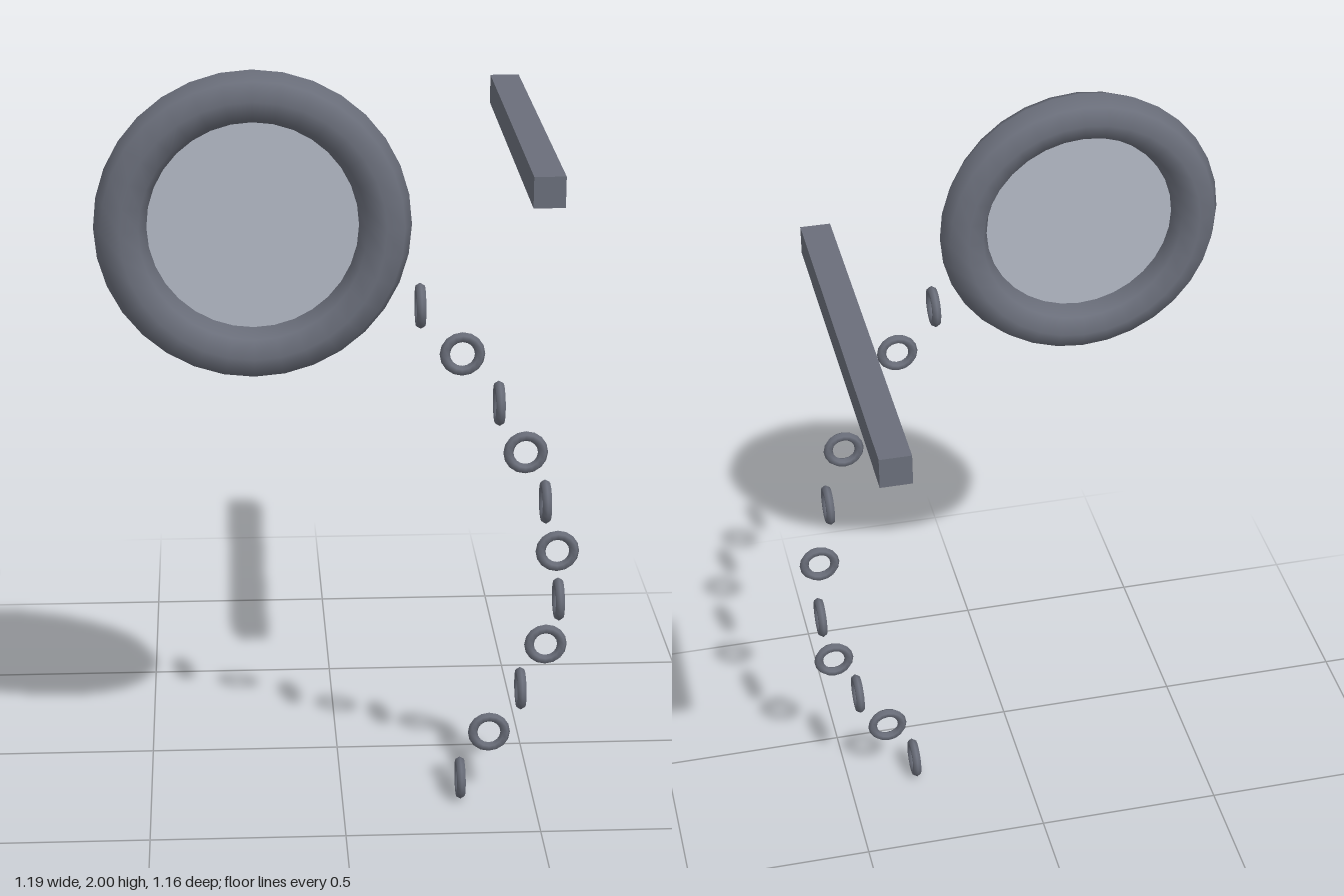
import * as THREE from 'three';

export function createModel() {
  const model = new THREE.Group();
  const metal = new THREE.MeshStandardMaterial({ color: 0x6a6e7a });
  metal.name = 'dark grey metal';
  const glass = new THREE.MeshStandardMaterial({ color: 0xb2b8c4, side: THREE.DoubleSide });
  glass.name = 'pale grey glass';

  const add = (name, geometry, material, x, y, z, parent = model) => {
    const mesh = new THREE.Mesh(geometry, material);
    mesh.name = name;
    mesh.position.set(x, y, z);
    parent.add(mesh);
    return mesh;
  };

  // Round rim with a flat pane inside
  add('rim', new THREE.TorusGeometry(0.3125, 0.0625, 8, 32), metal, -0.222, 1.628, 0.516);
  add('lens', new THREE.CircleGeometry(0.252, 32), glass, -0.222, 1.628, 0.516);

  // Square bar running front to back
  add('bar', new THREE.BoxGeometry(0.077, 0.077, 1.064), metal, 0.482, 1.692, -0.047);

  // Chain of rings, every other one turned a quarter
  const chain = new THREE.Group();
  chain.name = 'chain';
  model.add(chain);
  const ring = new THREE.TorusGeometry(0.0425, 0.0125, 6, 16);
  const centres = [
    [0.175, 1.425, 0.514], [0.278, 1.3, 0.508], [0.37, 1.17, 0.5],
    [0.44, 1.033, 0.477], [0.497, 0.886, 0.436], [0.537, 0.731, 0.384],
    [0.549, 0.58, 0.341], [0.522, 0.444, 0.318], [0.461, 0.316, 0.309],
    [0.382, 0.19, 0.304], [0.309, 0.056, 0.299],
  ];
  centres.forEach(([x, y, z], i) => {
    const link = add('chainLink' + (i + 1), ring, metal, x, y, z, chain);
    if (i % 2 === 0) link.rotation.y = Math.PI / 2;
  });

  return model;
}
